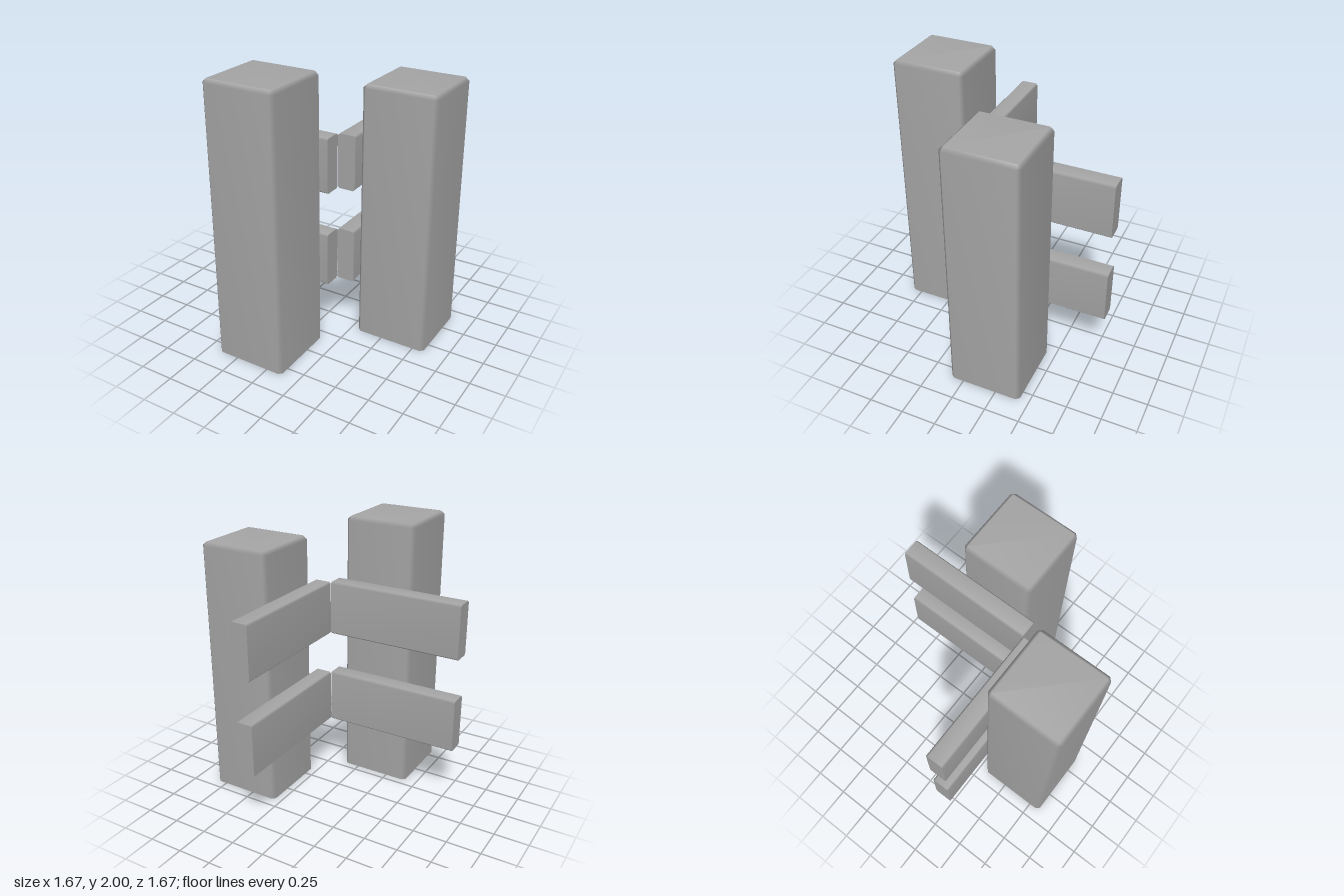
import * as THREE from 'three';
import { mergeVertices, mergeGeometries } from 'three/addons/utils/BufferGeometryUtils.js';

// Rectangle with cut corners at height y, as eight points
function ring(w, d, cut, y) {
  const x = w / 2, z = d / 2;
  return [
    [x, z - cut], [x, cut - z], [x - cut, -z], [cut - x, -z],
    [-x, cut - z], [-x, z - cut], [cut - x, z], [x - cut, z],
  ].map(([px, pz]) => new THREE.Vector3(px, y, pz));
}

function fromPoints(points) {
  return new THREE.BufferGeometry().setFromPoints(points);
}

// Fan of triangles over a ring, facing up or down
function cap(points, up) {
  const out = [];
  for (let i = 1; i < points.length - 1; i++) {
    const a = points[i], b = points[i + 1];
    out.push(points[0], ...(up ? [a, b] : [b, a]));
  }
  return out;
}

// Walls joining each ring to the next one above it
function walls(rings) {
  const out = [];
  for (let r = 0; r < rings.length - 1; r++) {
    const lo = rings[r], hi = rings[r + 1];
    for (let i = 0; i < lo.length; i++) {
      const j = (i + 1) % lo.length;
      out.push(lo[i], lo[j], hi[i], lo[j], hi[j], hi[i]);
    }
  }
  return out;
}

// Shared vertices give soft, area-weighted bevels
function soften(points) {
  const geometry = mergeVertices(fromPoints(points));
  geometry.computeVertexNormals();
  return geometry.toNonIndexed();
}

function flat(points) {
  const geometry = fromPoints(points);
  geometry.computeVertexNormals();
  return geometry;
}

// Hollow post: bevelled sides and top, open underneath
function postGeometry(size, height) {
  const c = 0.025;
  const top = ring(size - 2 * c, size - 2 * c, 0.004, height);
  const rings = [ring(size, size, c, 0), ring(size, size, c, height - c), top];
  return soften([...walls(rings), ...cap(top, true)]);
}

// Rail along x: bevelled long edges, square flat ends
function railGeometry(length, height, depth) {
  const c = 0.013;
  const start = ring(height, depth, c, -length / 2);
  const end = ring(height, depth, c, length / 2);
  const geometry = mergeGeometries([
    soften(walls([start, end])), flat(cap(start, false)), flat(cap(end, true)),
  ]);
  return geometry.rotateZ(-Math.PI / 2);
}

export function createModel() {
  const model = new THREE.Group();
  const grey = new THREE.MeshStandardMaterial({ color: 0xa6a6a6, side: THREE.DoubleSide });
  grey.name = 'grey';

  function add(name, geometry, x, y, z, turn = 0) {
    const mesh = new THREE.Mesh(geometry, grey);
    mesh.name = name;
    mesh.position.set(x, y, z);
    mesh.rotation.y = turn;
    model.add(mesh);
  }

  // Two posts of different heights
  add('frontPost', postGeometry(0.53, 2), -0.145, 0, 0.568);
  add('sidePost', postGeometry(0.53, 1.885), 0.568, 0, -0.165);

  // Two levels of rails meeting at the corner
  const rail = railGeometry(0.998, 0.395, 0.132);
  [['lower', 0.645], ['upper', 1.35]].forEach(([level, y]) => {
    add(level + 'FrontRail', rail, -0.334, y, 0.232);
    add(level + 'SideRail', rail, 0.232, y, -0.334, Math.PI / 2);
  });
  return model;
}
